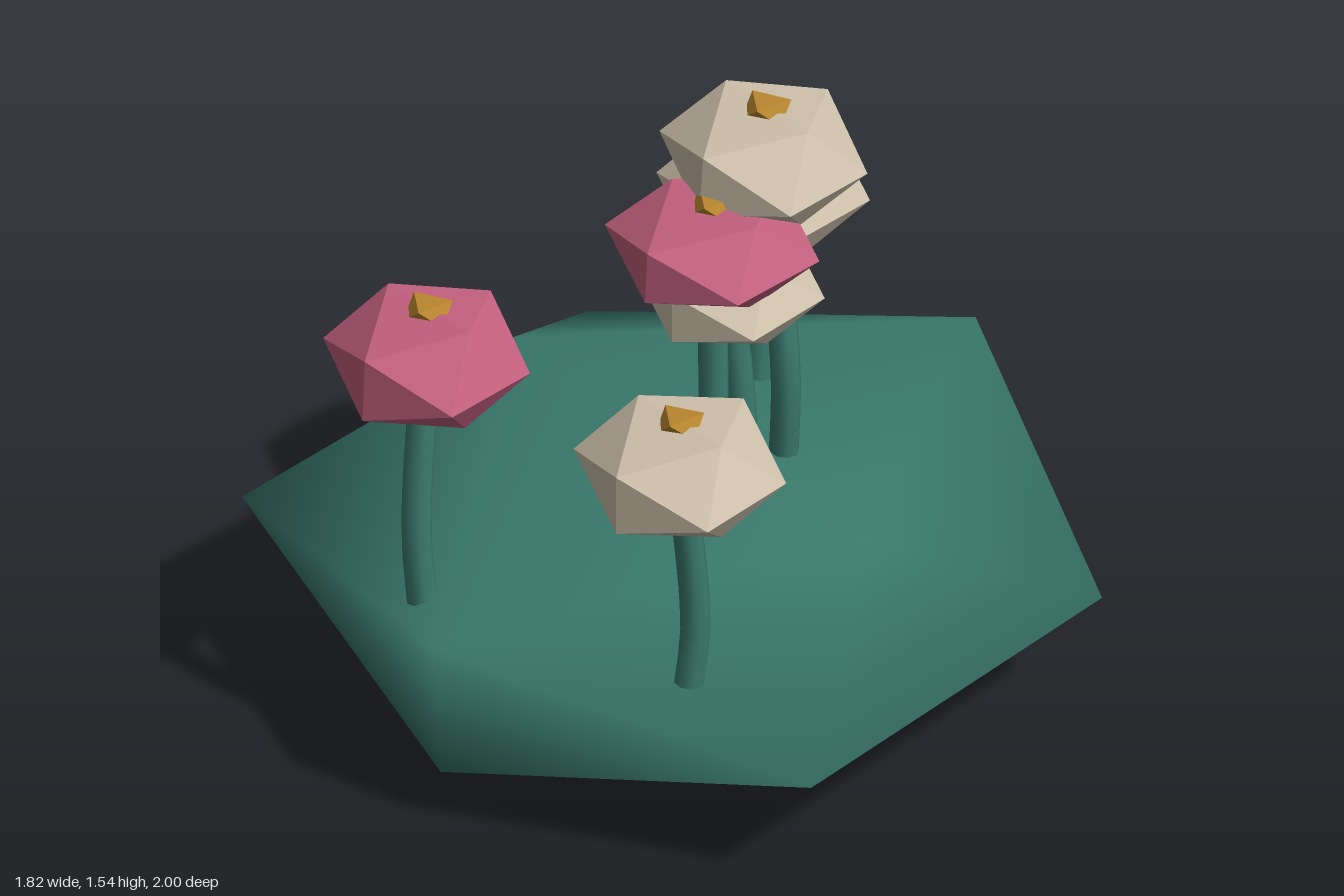
import * as THREE from 'three';
import { mergeVertices } from 'three/addons/utils/BufferGeometryUtils.js';
import { ConvexGeometry } from 'three/addons/geometries/ConvexGeometry.js';

const V = (x, y, z) => new THREE.Vector3(x, y, z);

export function createModel() {
  const group = new THREE.Group();
  const mat = (name, color, flatShading = false) => {
    const m = new THREE.MeshStandardMaterial({ color, flatShading });
    m.name = name;
    return m;
  };
  const green = mat('leaf green', 0x3a7a6d);
  const cream = mat('cream petals', 0xcdc0ab, true);
  const pink = mat('pink petals', 0xc2607f, true);
  const gold = mat('gold centre', 0xb8862f, true);

  const add = (parent, name, geo, material) => {
    const mesh = new THREE.Mesh(geo, material);
    mesh.name = name;
    parent.add(mesh);
    return mesh;
  };

  // Mound: a flattened, slightly uneven icosahedron with smooth normals
  let mound = new ConvexGeometry([
    V(-0.25, 0.63, -0.5), V(0.34, 0.585, 0.45), V(-0.25, 0, -0.5), V(0.34, 0.04, 0.45),
    V(0.85, 0.5, -0.48), V(0.82, 0.14, -0.47), V(-0.71, 0.5, 0.49), V(-0.69, 0.14, 0.48),
    V(0.06, 0.31, -1), V(0.91, 0.31, 0.43), V(0.06, 0.31, 1), V(-0.91, 0.31, -0.48),
  ]);
  mound.deleteAttribute('normal');
  mound = mergeVertices(mound, 1e-4);
  mound.computeVertexNormals();
  add(group, 'mound', mound, green);

  // Flower centre: an octahedron lying on one face
  const centreGeo = new THREE.OctahedronGeometry(0.07);
  centreGeo.rotateY(Math.PI / 4);
  centreGeo.rotateX(-Math.atan(Math.SQRT2) + Math.PI);
  centreGeo.rotateY(0.4);
  centreGeo.scale(1, 0.55, 0.9);

  // Head: icosahedron turned about y, then squashed
  const headGeo = new THREE.IcosahedronGeometry(1, 0).rotateY(-Math.PI / 3);

  const flowers = [
    { petals: pink, at: [-0.65, 1.123, 0.205], size: [0.245, 0.158, 0.258], tilt: -0.03,
      stem: [[-0.675, 0.44, 0.27], [-0.688, 0.68, 0.255], [-0.655, 1.1, 0.21]] },
    { petals: cream, at: [-0.172, 1.052, 0.69], size: [0.25, 0.15, 0.277], tilt: 0,
      stem: [[-0.15, 0.44, 0.69], [-0.135, 0.6, 0.69], [-0.17, 1.05, 0.69]] },
    { petals: pink, at: [0.06, 1.25, 0.11], size: [0.255, 0.13, 0.262], tilt: -0.04,
      stem: [[0.055, 0.57, 0.13], [0.058, 0.8, 0.13], [0.06, 1.22, 0.11]] },
    { petals: cream, at: [0.11, 1.105, 0.08], size: [0.225, 0.125, 0.24], tilt: 0,
      stem: [[0.125, 0.57, 0.1], [0.135, 0.7, 0.1], [0.11, 1.08, 0.08]] },
    { petals: cream, at: [0.218, 1.39, -0.02], size: [0.245, 0.15, 0.27], tilt: -0.06,
      stem: [[0.25, 0.57, 0.04], [0.252, 0.8, 0.055], [0.24, 1.07, 0.022], [0.218, 1.36, -0.02]] },
    { petals: cream, at: [0.3, 1.07, -0.33], size: [0.255, 0.148, 0.25], tilt: 0,
      stem: [[0.275, 0.56, -0.29], [0.285, 0.7, -0.3], [0.315, 1.05, -0.33]] },
  ];

  for (const f of flowers) {
    const flower = new THREE.Group();
    flower.name = 'flower';
    group.add(flower);

    // Stem: a bent tube with a closed foot
    const path = new THREE.CatmullRomCurve3(f.stem.map((p) => V(...p)));
    add(flower, 'stem', new THREE.TubeGeometry(path, 8, 0.036, 8), green);
    const foot = add(flower, 'stemFoot', new THREE.CircleGeometry(0.036, 8).rotateX(Math.PI / 2), green);
    foot.position.set(...f.stem[0]);

    // Head and its centre lean together
    const head = new THREE.Group();
    head.name = 'flowerHead';
    head.position.set(...f.at);
    head.rotation.z = f.tilt;
    flower.add(head);
    add(head, 'petals', headGeo, f.petals).scale.set(...f.size);
    add(head, 'flowerCentre', centreGeo, gold).position.y = f.size[1] * 0.851 - 0.005;
  }
  return group;
}
